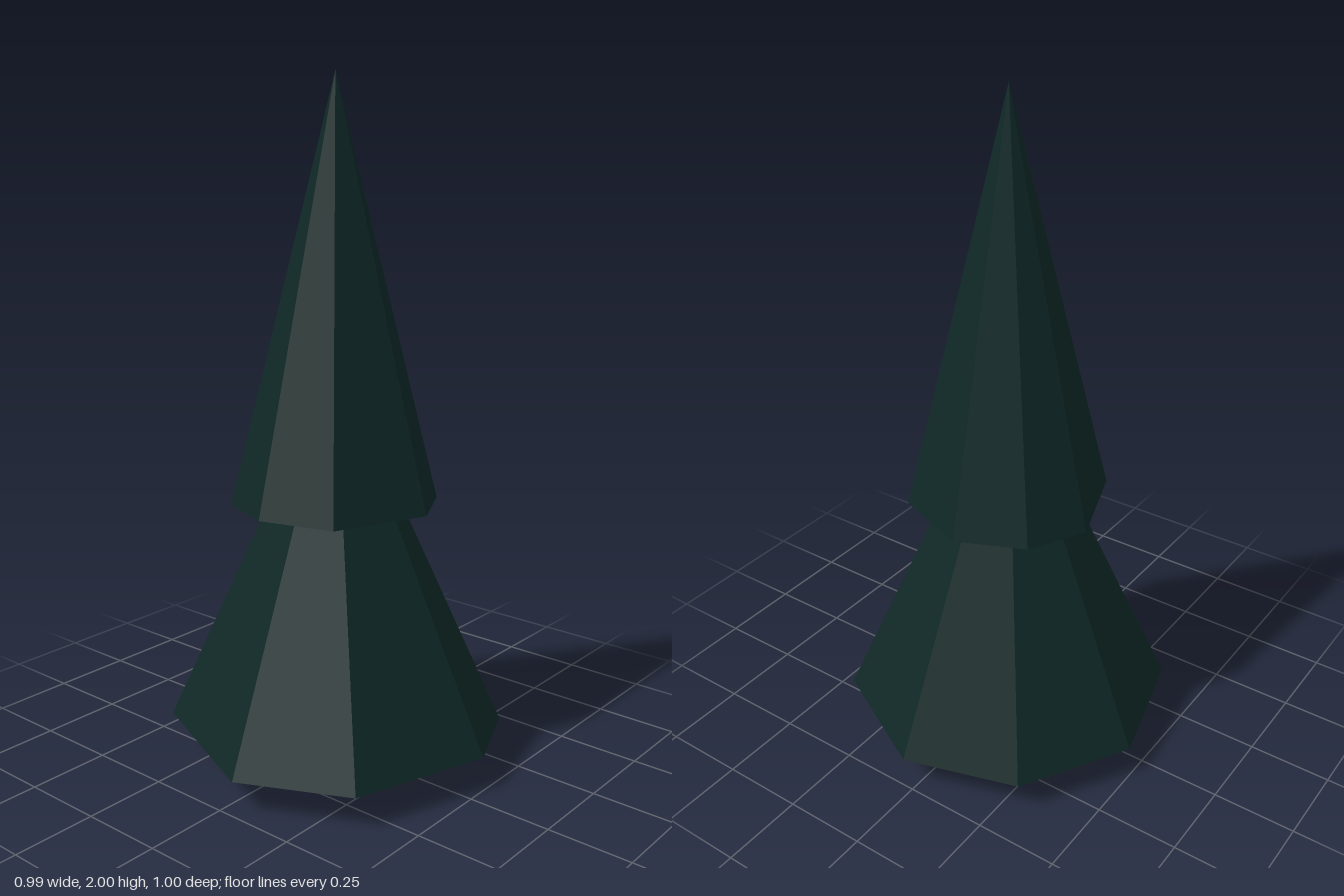
import * as THREE from 'three';

// Slightly irregular eight-sided rims, as [x, z] corners
const lowerRim = [[0.03, -0.5], [0.39, -0.31], [0.495, -0.065], [0.36, 0.345],
  [0.045, 0.495], [-0.395, 0.305], [-0.495, -0.075], [-0.31, -0.395]];
const upperRim = [[-0.02, -0.3], [0.21, -0.215], [0.3, -0.04], [0.19, 0.235],
  [-0.03, 0.295], [-0.2, 0.23], [-0.3, -0.045], [-0.215, -0.215]];

// Faceted cone over a rim, with a shallow hollow underneath
function foliageTier(name, rim, baseY, tipY, hollowY, material) {
  const points = [];
  rim.forEach(([ax, az], i) => {
    const [bx, bz] = rim[(i + 1) % rim.length];
    points.push(bx, baseY, bz, ax, baseY, az, 0, tipY, 0);
    points.push(ax, baseY, az, bx, baseY, bz, 0, hollowY, 0);
  });
  const geometry = new THREE.BufferGeometry();
  geometry.setAttribute('position', new THREE.Float32BufferAttribute(points, 3));
  geometry.computeVertexNormals();
  const mesh = new THREE.Mesh(geometry, material);
  mesh.name = name;
  return mesh;
}

export function createModel() {
  const tree = new THREE.Group();
  tree.name = 'pineTree';

  const needles = new THREE.MeshStandardMaterial({ color: 0x0f2827, flatShading: true });
  needles.name = 'dark pine green';
  const bark = new THREE.MeshStandardMaterial({ color: 0x382a29, flatShading: true });
  bark.name = 'dark bark brown';

  // Trunk, reaching up into the lower tier
  const trunk = new THREE.Mesh(new THREE.CylinderGeometry(0.05, 0.051, 0.26, 8), bark);
  trunk.name = 'trunk';
  trunk.position.y = 0.13;
  trunk.rotation.y = 0.3;
  tree.add(trunk);

  // Two overlapping tiers of foliage
  tree.add(foliageTier('lowerFoliage', lowerRim, 0.1, 1.21, 0.23, needles));
  tree.add(foliageTier('upperFoliage', upperRim, 0.785, 2, 0.86, needles));
  return tree;
}
